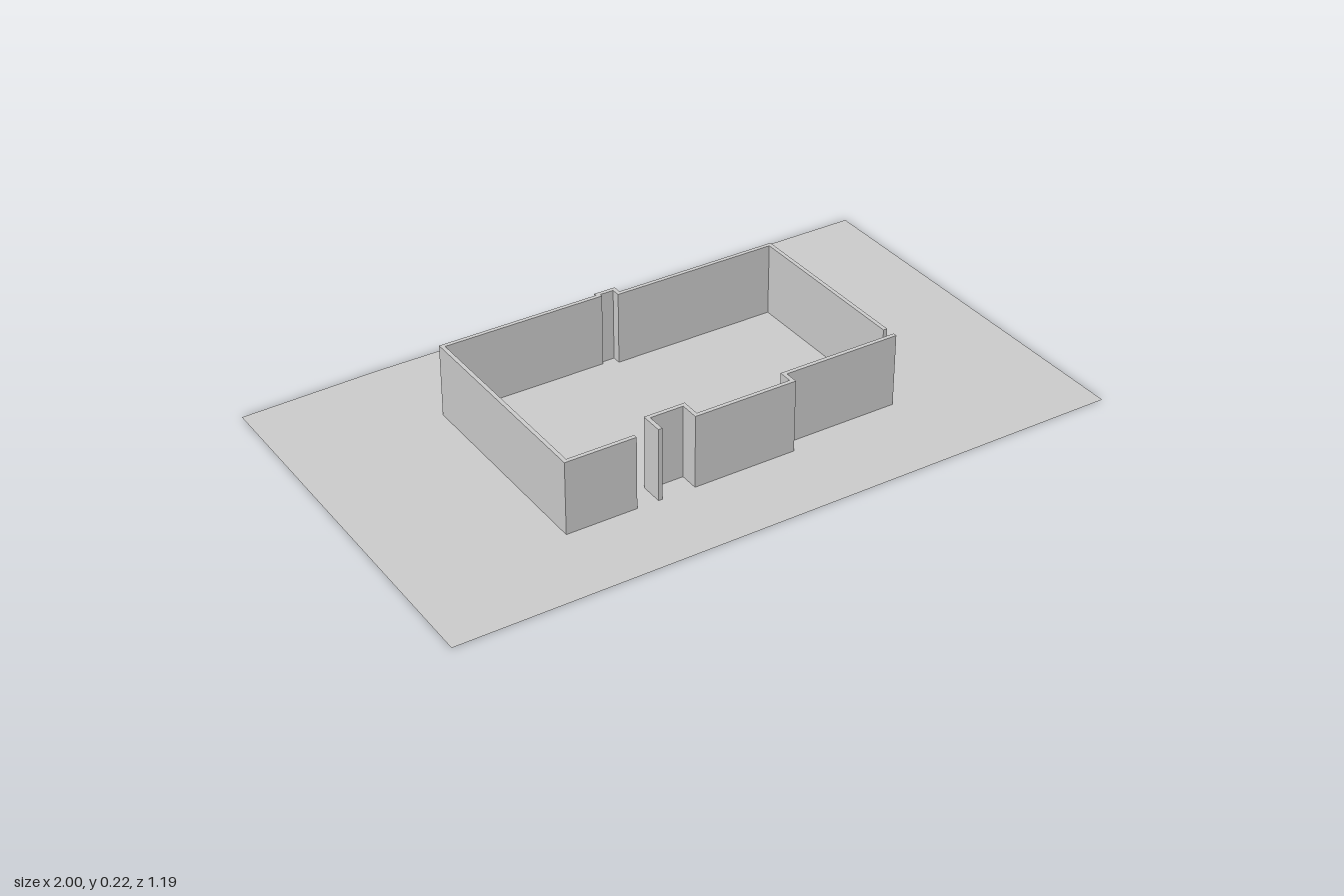
import * as THREE from 'three';

const HEIGHT = 0.218;
const HALF = 0.006; // half the wall thickness

const material = new THREE.MeshStandardMaterial({
  color: 0xcccccc, flatShading: true, side: THREE.DoubleSide,
});

// Plan points are [x, z]; shapes are drawn with y = -z and laid flat.
const toShape = (points) => new THREE.Shape(points.map(([x, z]) => new THREE.Vector2(x, -z)));

// Mitred offset of a plan polyline to one side
function offsetPath(path, distance) {
  const normals = path.slice(1).map(([x, z], i) => {
    const dx = x - path[i][0], dz = z - path[i][1], len = Math.hypot(dx, dz);
    return [-dz / len, dx / len];
  });
  return path.map(([x, z], i) => {
    const a = normals[Math.max(i - 1, 0)];
    const b = normals[Math.min(i, normals.length - 1)];
    const k = distance / (1 + a[0] * b[0] + a[1] * b[1]);
    return [x + (a[0] + b[0]) * k, z + (a[1] + b[1]) * k];
  });
}

function makeWall(name, path) {
  const outline = [...offsetPath(path, HALF), ...offsetPath(path, -HALF).reverse()];
  const geometry = new THREE.ExtrudeGeometry(toShape(outline), { depth: HEIGHT, bevelEnabled: false });
  geometry.rotateX(-Math.PI / 2);
  const mesh = new THREE.Mesh(geometry, material);
  mesh.name = name;
  return mesh;
}

export function createModel() {
  const model = new THREE.Group();
  model.name = 'walledPlot';

  // Flat plot, slightly cut at the back corner
  const plot = [[-1, 0.594], [1, 0.594], [1, -0.594], [-0.6, -0.594], [-1, -0.581]];
  const ground = new THREE.Mesh(new THREE.ShapeGeometry(toShape(plot)).rotateX(-Math.PI / 2), material);
  ground.name = 'ground';
  model.add(ground);

  // Long run: front corner, side, back with a shallow bump, other side
  model.add(makeWall('outerWall', [
    [-0.33, 0.342], [-0.534, 0.342], [-0.534, -0.296], [-0.05, -0.296],
    [-0.05, -0.305], [0.003, -0.305], [0.003, -0.279], [0.502, -0.279], [0.502, 0.266],
  ]));

  // Front run: recessed entrance, projecting bay, set-back end
  model.add(makeWall('frontWall', [
    [-0.26, 0.348], [-0.26, 0.285], [-0.149, 0.285], [-0.149, 0.342],
    [0.149, 0.342], [0.149, 0.301], [0.508, 0.301],
  ]));

  return model;
}
